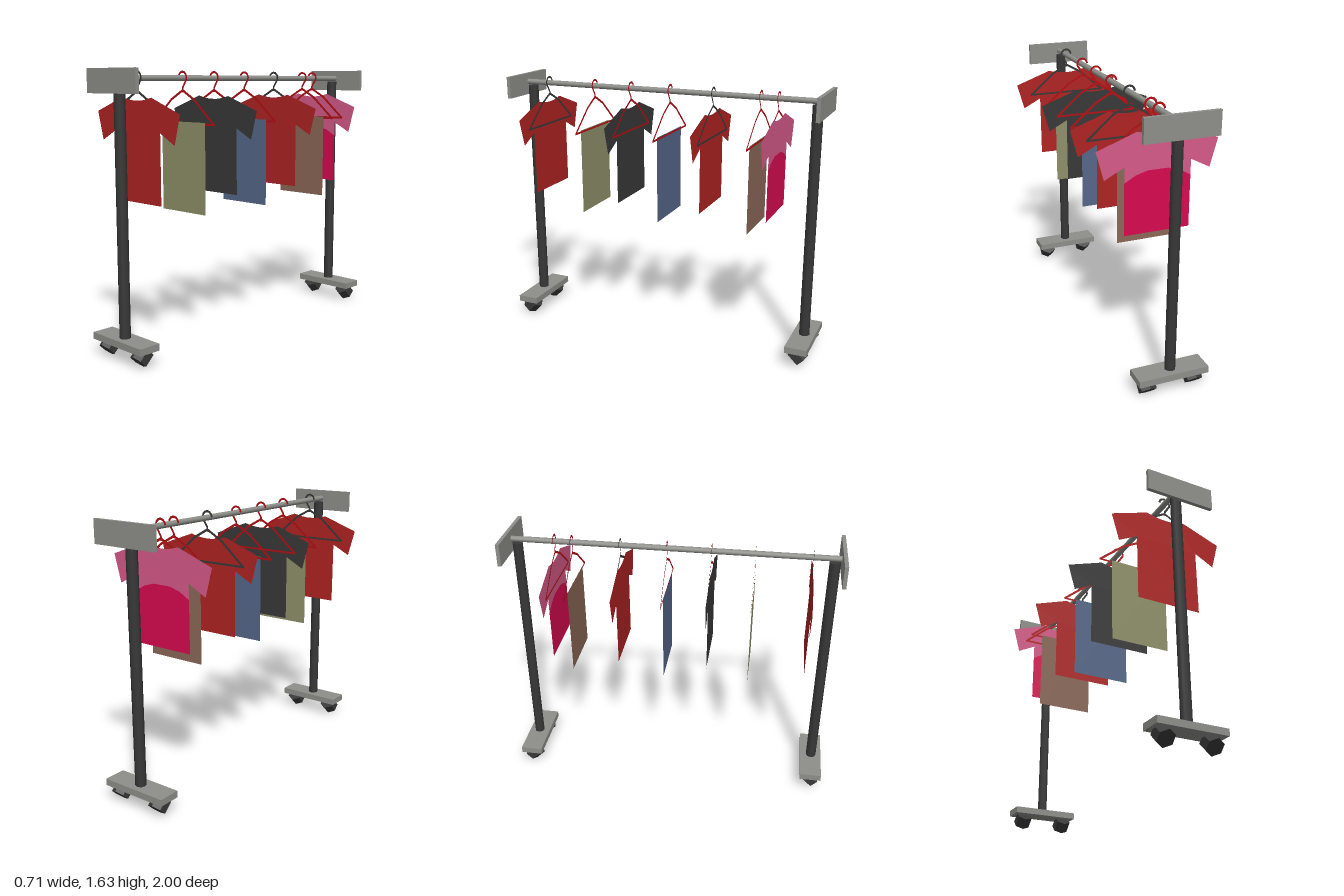
import * as THREE from 'three';

const mat = (name, color, both = false) => {
  const m = new THREE.MeshStandardMaterial({ color, side: both ? THREE.DoubleSide : THREE.FrontSide });
  m.name = name;
  return m;
};

export function createModel() {
  const steel = mat('steel', 0x8e8e8a);
  const dark = mat('dark', 0x383838, true);
  const red = mat('red', 0xb02323, true);
  const khaki = mat('khaki', 0x8f9169, true);
  const blue = mat('blue', 0x56678a, true);
  const brown = mat('brown', 0x8b6857, true);
  const pink = mat('pink', 0xd65a88, true);
  const crimson = mat('crimson', 0xd80a50, true);
  const hangerRed = mat('hangerRed', 0xb40f14, true);

  const root = new THREE.Group();
  root.name = 'clothesRack';
  const add = (name, geometry, material, x = 0, y = 0, z = 0, parent = root) => {
    const mesh = new THREE.Mesh(geometry, material);
    mesh.name = name;
    mesh.position.set(x, y, z);
    parent.add(mesh);
    return mesh;
  };
  const flat = (pts) => new THREE.ShapeGeometry(new THREE.Shape(pts.map(([x, y]) => new THREE.Vector2(x, y))));

  // Frame: rail, and at each end a post, base, casters and sign plate
  add('rail', new THREE.CylinderGeometry(0.017, 0.017, 1.95, 12).rotateX(Math.PI / 2), steel, 0, 1.582, 0);
  for (const s of [1, -1]) {
    const end = new THREE.Group();
    end.name = s > 0 ? 'frontStand' : 'rearStand';
    root.add(end);
    add('post', new THREE.CylinderGeometry(0.032, 0.032, 1.43, 8), dark, 0, 0.845, s * 0.935, end);
    add('base', new THREE.BoxGeometry(0.424, 0.04, 0.135), steel, 0, 0.12, s * 0.9325, end);
    add('endPlate', new THREE.BoxGeometry(0.424, 0.135, 0.022), steel, 0, 1.5675, s * 0.982, end);
    for (const x of [-0.14, 0.145]) {
      // Tilted six-sided wheels
      const wheel = new THREE.CylinderGeometry(0.053, 0.053, 0.075, 6).toNonIndexed();
      wheel.computeVertexNormals();
      wheel.rotateX(-s * Math.PI / 4);
      add('caster', wheel, dark, x, 0.069, s * 0.935, end);
    }
  }

  // Flat ribbon of constant width following a path in the XY plane
  const ribbon = (pts, width) => {
    const left = [], right = [];
    pts.forEach(([x, y], i) => {
      const a = pts[Math.max(i - 1, 0)], b = pts[Math.min(i + 1, pts.length - 1)];
      const dx = b[0] - a[0], dy = b[1] - a[1], k = width / 2 / Math.hypot(dx, dy);
      left.push([x - dy * k, y + dx * k]);
      right.unshift([x + dy * k, y - dx * k]);
    });
    return flat([...left, ...right]);
  };

  // Hanger: hook over the rail, two sloping arms and a bottom bar
  const hookPath = [[0, 1.5], [0, 1.525]];
  for (let i = 0; i <= 8; i++) {
    const a = -0.9 + i * 0.5;
    hookPath.push([0.034 * Math.cos(a), 1.585 + 0.034 * Math.sin(a)]);
  }
  const hookGeo = ribbon(hookPath, 0.013);
  const armGeo = [1, -1].map((s) => ribbon([[0, 1.513], [s * 0.1, 1.458], [s * 0.26, 1.32]], 0.014));
  const barGeo = ribbon([[-0.262, 1.322], [0.262, 1.322]], 0.012);
  const hanger = (z, material) => {
    const g = new THREE.Group();
    g.name = 'hanger';
    g.position.z = z;
    root.add(g);
    add('hook', hookGeo, material, 0, 0, 0, g);
    armGeo.forEach((a) => add('arm', a, material, 0, 0, 0, g));
    add('bar', barGeo, material, 0, 0, 0, g);
  };

  // Short-sleeved shirt outline, mirrored from its left half
  const mirror = (half) => [...half, ...half.slice().reverse().map(([x, y]) => [-x, y])];
  const sleeves = [[0.195, 1.29], [0.31, 1.23], [0.355, 1.395], [0.125, 1.478], [0.07, 1.465], [0.025, 1.46]];
  const shirtGeo = flat(mirror([[0.195, 0.895], ...sleeves]));
  for (const [z, cloth, hook] of [[0.82, red, dark], [0.235, dark, hangerRed], [-0.305, red, dark]]) {
    add('shirt', shirtGeo, cloth, 0, 0, z);
    hanger(z - 0.006, hook);
  }

  // Two-tone shirt with a curved colour boundary
  const wave = [[0.195, 1.2], [0.13, 1.237], [0.06, 1.257]];
  add('shirtTop', flat(mirror([...wave.slice().reverse(), ...sleeves])), pink, 0, 0, -0.715);
  add('shirtBottom', flat(mirror([[0.195, 0.895], ...wave])), crimson, 0, 0, -0.715);
  hanger(-0.709, hangerRed);

  // Folded trousers over the hanger bars
  const trousers = new THREE.PlaneGeometry(0.37, 0.53);
  for (const [z, cloth] of [[0.485, khaki], [-0.03, blue], [-0.6, brown]]) {
    add('trousers', trousers, cloth, 0.004, 1.067, z);
    hanger(z - 0.003, hangerRed);
  }
  return root;
}
